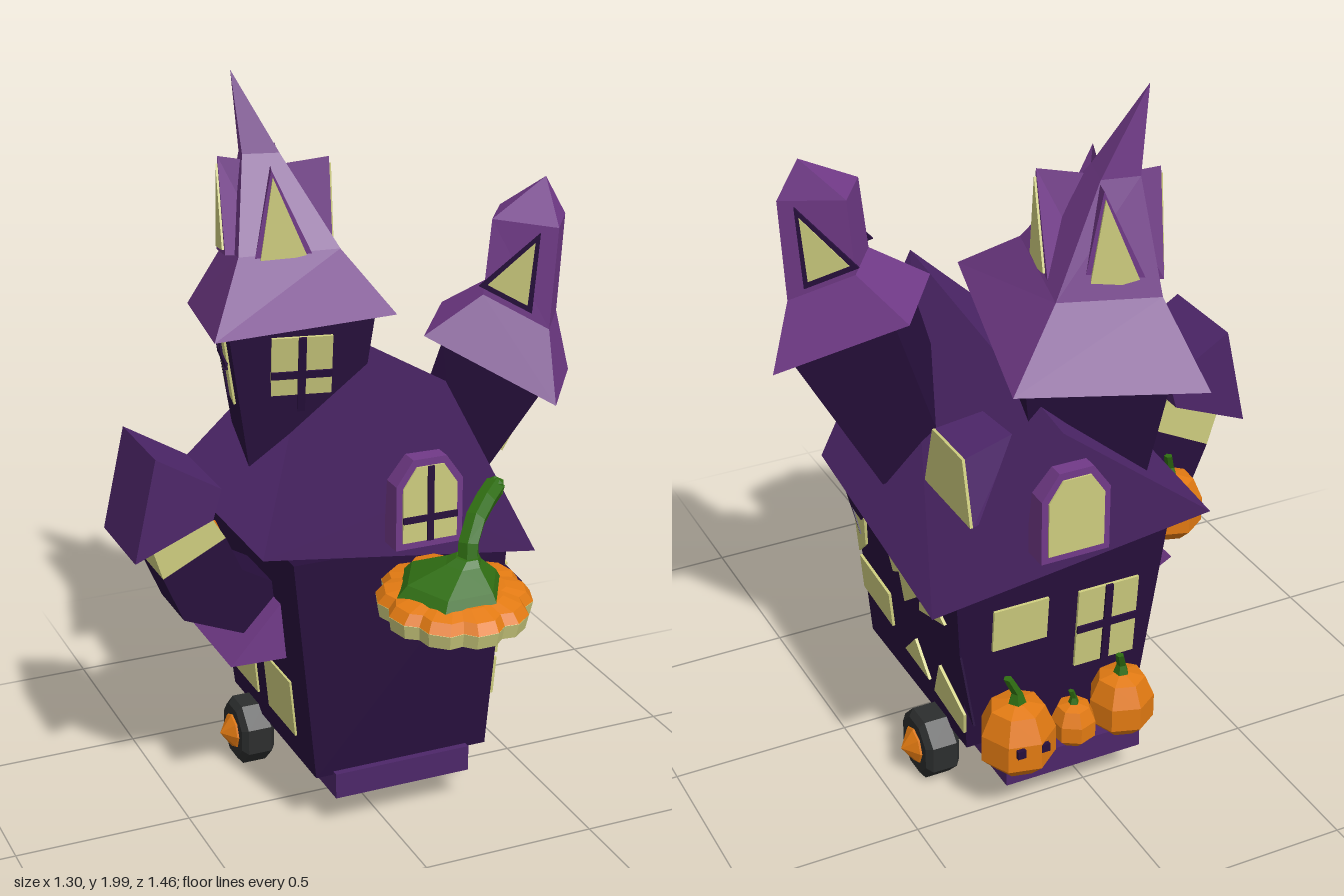
import * as THREE from 'three';

const mat = (name, color) => Object.assign(
  new THREE.MeshStandardMaterial({ color, flatShading: true, side: THREE.DoubleSide }), { name });
const M = {
  wall: mat('dark plum wall', 0x270f3c), roof: mat('purple roof', 0x4d2669), spire: mat('light purple roof', 0x713a88),
  glow: mat('pale yellow glow', 0xcdcc7e), orange: mat('pumpkin orange', 0xe27a12),
  green: mat('stem green', 0x2f6d12), tyre: mat('tyre black', 0x2c2e2e),
};
const V = (x, y, z) => new THREE.Vector3(x, y, z);
const pts = list => list.map(p => V(...p));

// Closed faceted solid through matching rings of points
function loft(rings) {
  const pos = [], n = rings[0].length, c = V(0, 0, 0);
  const tri = (a, b, d) => {
    c.crossVectors(b.clone().sub(a), d.clone().sub(a));
    if (c.length() > 1e-9) pos.push(...a.toArray(), ...b.toArray(), ...d.toArray());
  };
  const mid = r => r.reduce((s, p) => s.add(p), V(0, 0, 0)).divideScalar(n);
  const last = rings[rings.length - 1], m0 = mid(rings[0]), m1 = mid(last);
  for (let i = 0; i < n; i++) {
    const j = (i + 1) % n;
    for (let k = 0; k + 1 < rings.length; k++) {
      const a = rings[k], b = rings[k + 1];
      tri(a[i], a[j], b[j]); tri(a[i], b[j], b[i]);
    }
    tri(m0, rings[0][j], rings[0][i]); tri(m1, last[i], last[j]);
  }
  // turn the faces outward
  let vol = 0;
  for (let i = 0; i < pos.length; i += 9) {
    const [a, b, d] = [0, 3, 6].map(k => V(pos[i + k], pos[i + k + 1], pos[i + k + 2]).sub(m0));
    vol += a.dot(b.cross(d));
  }
  if (vol < 0) for (let i = 0; i < pos.length; i += 9)
    for (let k = 0; k < 3; k++) [pos[i + 3 + k], pos[i + 6 + k]] = [pos[i + 6 + k], pos[i + 3 + k]];
  const g = new THREE.BufferGeometry();
  g.setAttribute('position', new THREE.Float32BufferAttribute(pos, 3));
  g.computeVertexNormals();
  return g;
}
function add(parent, name, geo, material) {
  const m = new THREE.Mesh(geo, material);
  m.name = name;
  parent.add(m);
  return m;
}
function group(parent, name, x = 0, y = 0, z = 0, ry = 0, rx = 0) {
  const g = new THREE.Group();
  g.name = name;
  g.position.set(x, y, z);
  g.rotation.set(rx, ry, 0, 'YXZ');
  parent.add(g);
  return g;
}
const circle = (n, r, y, x = 0, z = 0, a0 = 0) => Array.from({ length: n }, (_, i) => {
  const a = a0 + i / n * Math.PI * 2;
  return V(x + r * Math.cos(a), y, z + r * Math.sin(a));
});
const rect = (x, y, z, hx, hz) => pts([[x - hx, y, z + hz], [x + hx, y, z + hz], [x + hx, y, z - hz], [x - hx, y, z - hz]]);
const turned = (profile, n, a0 = 0) => loft(profile.map(([r, y]) => circle(n, r, y, 0, 0, a0)));
const plate = (outline, depth = 0.008) => new THREE.ExtrudeGeometry(
  new THREE.Shape(outline.map(p => new THREE.Vector2(...p))), { depth, bevelEnabled: false });
const box = (w, h, d, x, y, z) => new THREE.BoxGeometry(w, h, d).translate(x, y, z);

// Lit window facing local +z, with glazing bars
function glazing(parent, name, w, h, at, ry, rx, bars = true) {
  const g = group(parent, name, ...at, ry, rx);
  add(g, 'pane', box(w, h, 0.008, 0, 0, 0), M.glow);
  if (bars) {
    add(g, 'uprightBar', box(0.022, h, 0.008, 0, 0, 0.006), M.wall);
    add(g, 'crossBar', box(w, 0.022, 0.008, 0, 0, 0.006), M.wall);
  }
}
function archWindow(parent, name, x, y, z, ry) {
  const g = group(parent, name, x, y, z, ry);
  const arch = (w, h) => [[-w, -h], [w, -h], [w, h * 0.45], [w * 0.5, h], [-w * 0.5, h], [-w, h * 0.45]];
  add(g, 'frame', plate(arch(0.096, 0.125), 0.07), M.spire);
  add(g, 'pane', plate(arch(0.078, 0.105)).translate(0, 0, 0.067), M.glow);
  if (ry === 0) {
    add(g, 'uprightBar', box(0.018, 0.21, 0.006, 0, 0, 0.077), M.wall);
    add(g, 'crossBar', box(0.156, 0.018, 0.006, 0, -0.04, 0.077), M.wall);
  }
}
function pumpkin(parent, name, x, y, z, r) {
  const g = group(parent, name, x, y, z, r * 9);
  add(g, 'flesh', turned([[r * 0.6, -r], [r, -r * 0.6], [r, r * 0.15], [r * 0.72, r * 0.8], [r * 0.25, r * 0.92]], 7), M.orange);
  add(g, 'stem', loft([circle(5, r * 0.3, r * 0.75), circle(5, r * 0.15, r * 1.2), circle(5, r * 0.13, r * 1.7, r * 0.25)]), M.green);
  return g;
}

export function createModel() {
  const model = new THREE.Group();
  model.name = 'hauntedWagon';

  // Chassis and wheels
  const deck = [[-0.145, -0.22], [0.26, -0.22], [0.26, 0.55], [-0.145, 0.55]];
  const frame = new THREE.Shape(deck.map(p => new THREE.Vector2(...p)));
  frame.holes.push(new THREE.Path([[-0.115, -0.19], [-0.115, 0.52], [0.23, 0.52], [0.23, -0.19]].map(p => new THREE.Vector2(...p))));
  add(model, 'chassisFrame', new THREE.ExtrudeGeometry(frame, { depth: 0.075, bevelEnabled: false })
    .rotateX(-Math.PI / 2).translate(0, 0.105, 0), M.roof);
  add(model, 'chassisFloor', plate(deck, 0.012).rotateX(-Math.PI / 2).translate(0, 0.167, 0), M.roof);
  for (const [x, s] of [[-0.215, 1], [0.353, -1]]) {
    const wheel = group(model, 'wheel', x, 0.1, -0.27);
    wheel.rotation.z = s * Math.PI / 2;
    add(wheel, 'tyre', turned([[0.08, -0.05], [0.1, -0.035], [0.1, 0.035], [0.08, 0.05]], 8, Math.PI / 8), M.tyre);
    add(wheel, 'hub', turned([[0.058, 0.04], [0.05, 0.055], [0, 0.09]], 8), M.orange);
  }
  add(model, 'axle', box(0.5, 0.03, 0.03, 0.07, 0.1, -0.27), M.tyre);

  // House walls and main gable roof
  add(model, 'walls', loft([rect(0.062, 0.17, -0.115, 0.258, 0.315), rect(0.062, 0.82, -0.145, 0.318, 0.345)]), M.wall);
  add(model, 'mainRoof', loft([
    pts([[-0.35, 0.86, 0.22], [0.14, 1.31, 0.283], [0.44, 0.76, 0.243]]),
    pts([[-0.32, 0.82, -0.577], [0.15, 1.2, -0.635], [0.47, 0.7, -0.55]])]), M.roof);
  archWindow(model, 'frontGableWindow', 0.085, 0.99, 0.242, 0);
  archWindow(model, 'backGableWindow', 0.125, 0.98, -0.592, Math.PI);

  // Dormer on the right roof slope
  const dormer = group(model, 'roofDormer', 0.345, 1.01, -0.395, Math.PI / 2);
  const trap = [[-0.135, -0.085], [0.135, -0.085], [0.09, 0.09], [-0.085, 0.09]];
  add(dormer, 'dormerBody', loft([pts(trap.map(([x, y]) => [x, y, 0])), pts(trap.map(([x, y]) => [x * 0.8, y + 0.03, -0.15]))]), M.roof);
  add(dormer, 'dormerPane', plate(trap), M.glow);

  // Torn openings on the sloping +x wall (outline x runs towards the back)
  const side = group(model, 'tornSide', 0.32, 0.17, 0, Math.PI / 2, 0.093);
  const torn = [
    [[-0.2, 0.72], [0, 0.76], [0, 0.705], [-0.2, 0.715]],
    [[-0.02, 0.715], [0.26, 0.64], [0.39, 0.555], [0.22, 0.5], [0.235, 0.555], [0.115, 0.465], [0.1, 0.555], [0.055, 0.53]],
    [[-0.2, 0.59], [-0.125, 0.6], [-0.14, 0.505], [-0.2, 0.45]],
    [[-0.2, 0.435], [-0.005, 0.415], [-0.005, 0.305], [-0.2, 0.325]],
    [[0.075, 0.28], [0.16, 0.365], [0.23, 0.27]],
    [[0.26, 0.255], [0.315, 0.375], [0.455, 0.3], [0.44, 0.23]],
  ];
  for (const o of torn) add(side, 'tornOpening', plate(o.map(([x, y]) => [x, y - 0.17])), M.glow);
  add(side, 'frontSplinter', plate([[-0.285, 0.53], [-0.02, 0.55], [-0.14, 0.42], [-0.2, 0.43], [-0.16, 0.36], [-0.23, 0.46]], 0.012), M.wall);
  add(side, 'backSplinter', plate([[0.4, 0.5], [0.49, 0.52], [0.47, 0.33], [0.51, 0.13], [0.43, 0.2]], 0.006), M.wall);

  // Windows on the back and -x walls
  glazing(model, 'backSmallWindow', 0.16, 0.13, [0.18, 0.55, -0.469], Math.PI, 0.09, false);
  glazing(model, 'backLargeWindow', 0.18, 0.25, [-0.08, 0.48, -0.463], Math.PI, 0.09);
  glazing(model, 'sideWindowRear', 0.19, 0.17, [-0.213, 0.33, -0.3], -Math.PI / 2, 0.093, false);
  glazing(model, 'sideWindowFore', 0.2, 0.17, [-0.213, 0.33, -0.02], -Math.PI / 2, 0.093, false);

  // Leaning rear tower, turned slightly
  const tower = group(model, 'tower', -0.033, 0, -0.373, -0.21);
  add(tower, 'towerWalls', loft([rect(0, 0.85, 0.03, 0.135, 0.135), rect(0, 1.37, 0, 0.205, 0.205)]), M.wall);
  glazing(tower, 'towerFrontWindow', 0.17, 0.23, [0, 1.21, 0.196], 0, 0.19);
  glazing(tower, 'towerSideWindow', 0.17, 0.23, [-0.186, 1.21, 0.01], -Math.PI / 2, 0.13);
  add(model, 'towerRoof', loft([
    pts([[-0.345, 1.35, -0.125], [0.14, 1.4, -0.02], [0.28, 1.32, -0.62], [-0.21, 1.27, -0.727]]),
    pts([[-0.215, 1.53, -0.28], [0.06, 1.54, -0.22], [0.12, 1.5, -0.53], [-0.15, 1.48, -0.58]]),
    pts([[-0.15, 1.78, -0.41], [-0.05, 1.78, -0.385], [-0.03, 1.77, -0.47], [-0.13, 1.77, -0.49]]),
    pts(Array(4).fill([-0.155, 2, -0.476]))]), M.spire);
  const dormers = group(model, 'spireDormers', -0.065, 0, -0.395, -0.21);
  for (let i = 0; i < 4; i++) {
    const d = group(dormers, 'spireDormer', 0, 0, 0, i * Math.PI / 2);
    const t = [[-0.085, 1.49], [0.085, 1.52], [-0.03, 1.77]];
    add(d, 'dormerRoof', loft([pts(t.map(([x, y]) => [x * 0.4, y - 0.02, 0.02])), pts(t.map(([x, y]) => [x, y, 0.15]))]), M.spire);
    add(d, 'dormerPane', plate([[-0.066, 1.505], [0.064, 1.53], [-0.027, 1.75]]).translate(0, 0, 0.148), M.glow);
  }

  // Outward leaning corner turret: a = outward axis, b = sideways axis
  const a = V(0.735, -0.43, 0.525), b = V(0.567, 0, -0.824), up = V(0.353, 0.904, 0.243);
  const ring = (c, ha, hb, ax = a) => [[-1, -1], [-1, 1], [1, 1], [1, -1]].map(([s, t]) =>
    V(...c).addScaledVector(ax, s * ha).addScaledVector(b, t * hb));
  const eave = [0.425, 1.265, 0.02], foot = [0.28, 0.88, -0.08];
  add(model, 'turretWalls', loft([ring(foot, 0.1, 0.085), ring(eave, 0.15, 0.12)]), M.wall);
  add(model, 'turretRoof', loft([ring(eave, 0.2, 0.153), ring([0.477, 1.41, 0.045], 0.1, 0.085),
    ring([0.497, 1.65, 0.045], 0.09, 0.075, V(0.81, -0.08, 0.58)), ring([0.555, 1.75, 0.026], 0, 0)]), M.spire);
  const placed = (name, x, y, z, dir) => {
    const g = group(model, name, x, y, z);
    g.quaternion.setFromRotationMatrix(new THREE.Matrix4().makeBasis(
      V(0, 0, 0).crossVectors(up, dir).normalize(), up, dir));
    return g;
  };
  add(placed('turretWindow', 0.451, 1.075, 0.071, a), 'pane', box(0.115, 0.13, 0.03, 0, 0, -0.005), M.glow);
  for (const s of [-1, 1]) {
    const d = b.clone().multiplyScalar(s);
    const g = placed('turretRoofWindow', 0.485 + d.x * 0.087, 1.52, 0.045 + d.z * 0.087, d);
    add(g, 'surround', plate([[-0.08, -0.085], [0.08, -0.085], [0, 0.125]], 0.006), M.wall);
    add(g, 'pane', plate([[-0.06, -0.07], [0.06, -0.07], [0, 0.095]], 0.009), M.glow);
  }

  // Crooked chimney arm on the -x side: sections given as lower and upper edge
  const section = ([x0, y0, x1, y1], za, zb) => pts([[x0, y0, za], [x0, y0, zb], [x1, y1, zb], [x1, y1, za]]);
  const bend = [[-0.2, 0.5, -0.2, 0.67], [-0.5, 0.625, -0.33, 0.745], [-0.555, 0.757, -0.375, 0.847], [-0.587, 0.862, -0.423, 0.926]]
    .map(s => section(s, -0.175, 0.01));
  add(model, 'chimneyArm', loft(bend.slice(0, 3)), M.wall);
  add(model, 'chimneyGlow', loft(bend.slice(2)), M.glow);
  const cap = [[-0.645, 0.835], [-0.425, 0.925], [-0.4, 1.01], [-0.58, 1.12]];
  add(model, 'chimneyCap', loft([pts(cap.map(([x, y]) => [x, y, -0.215])), pts(cap.map(([x, y]) => [x, y, 0.055]))]), M.roof);
  add(model, 'sideAwning', loft([
    pts([[-0.21, 0.68, -0.38], [-0.39, 0.49, -0.28], [-0.21, 0.48, -0.36]]),
    pts([[-0.21, 0.68, 0.06], [-0.39, 0.49, 0.07], [-0.21, 0.48, 0.06]])]), M.spire);

  // Pumpkins at the side and along the back
  pumpkin(model, 'sidePumpkin', -0.36, 0.69, -0.3, 0.092);
  const carved = pumpkin(model, 'carvedPumpkin', 0.22, 0.26, -0.53, 0.104);
  carved.rotation.y = 0;
  for (const x of [-0.035, 0.035]) add(carved, 'eye', box(0.024, 0.024, 0.012, x, 0, -0.096), M.wall);
  pumpkin(model, 'smallPumpkin', 0.05, 0.24, -0.53, 0.062);
  pumpkin(model, 'backPumpkin', -0.1, 0.26, -0.52, 0.09);

  // Scalloped pumpkin lid hanging in front
  const lid = group(model, 'pumpkinLid', 0.05, 0.795, 0.535, 0, 0.1);
  const scallop = (r, y) => Array.from({ length: 30 }, (_, i) => {
    const t = (Math.floor(i / 3) + [0, 0.28, 0.72][i % 3]) / 10 * Math.PI * 2;
    const q = r * (i % 3 ? 1 : 0.91);
    return V(q * Math.cos(t), y, q * Math.sin(t));
  });
  add(lid, 'rind', loft([scallop(0.175, 0.035), scallop(0.175, -0.015), scallop(0.195, -0.015), scallop(0.202, 0.025), scallop(0.18, 0.04)]), M.glow);
  add(lid, 'skin', loft([scallop(0.14, 0.015), scallop(0.202, 0.026), scallop(0.182, 0.052), scallop(0.13, 0.064)]), M.orange);
  add(lid, 'hollow', loft([circle(10, 0.165, -0.002), circle(10, 0.1, 0.03)]), M.orange);
  add(lid, 'leafCap', loft([circle(6, 0.15, 0.05, -0.015), circle(6, 0.125, 0.085, -0.01), circle(6, 0.05, 0.125, 0.02), circle(6, 0.032, 0.14, 0.03)]), M.green);
  const path = new THREE.CatmullRomCurve3(pts([[0.08, 0.9, 0.55], [0.095, 0.985, 0.53], [0.15, 1.035, 0.485], [0.215, 1.06, 0.43]]));
  add(model, 'lidStem', new THREE.TubeGeometry(path, 4, 0.029, 6), M.green);
  add(model, 'stemTip', new THREE.SphereGeometry(0.03, 6, 3).translate(0.212, 1.059, 0.433), M.green);
  return model;
}
